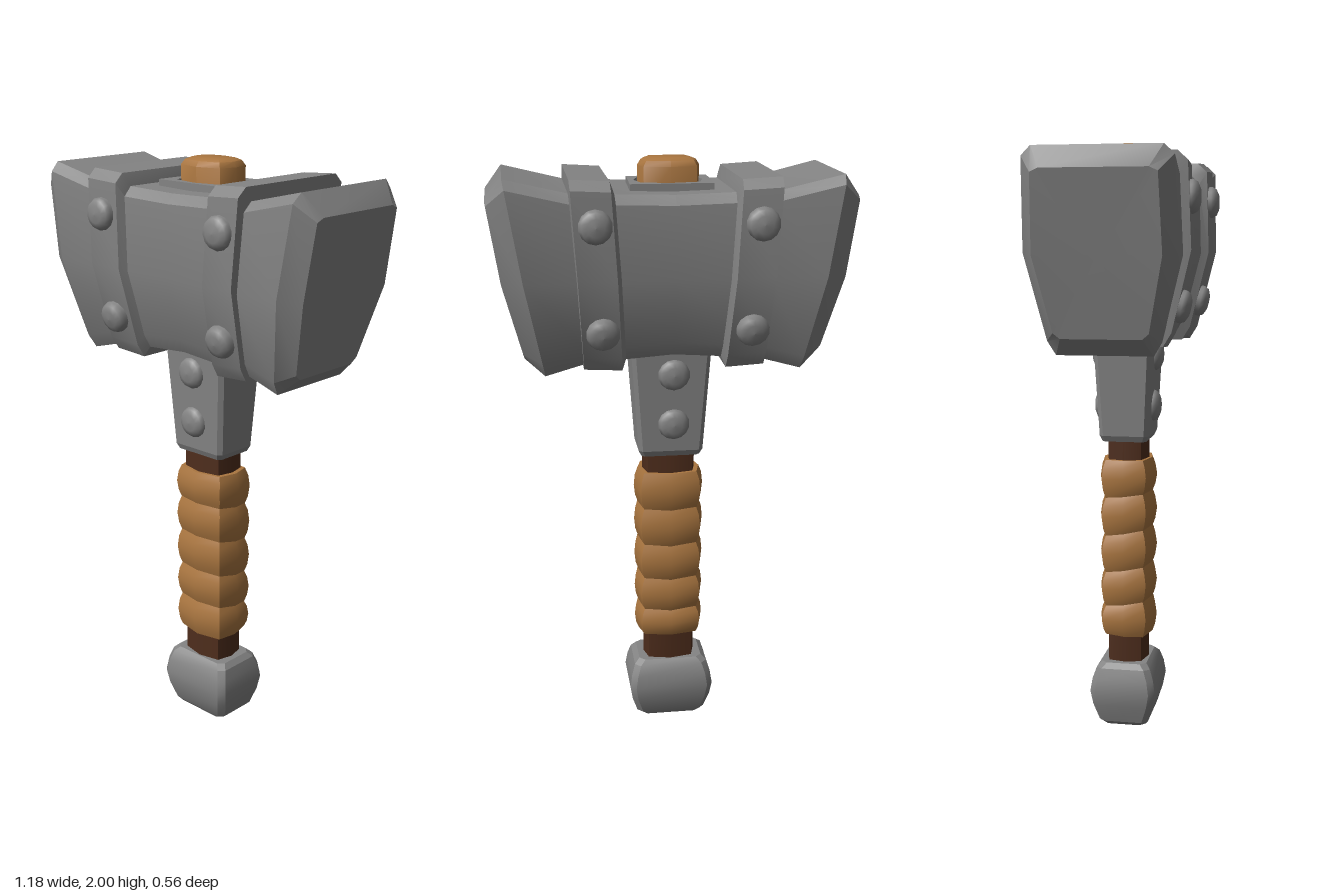
import * as THREE from 'three';
import { toCreasedNormals } from 'three/addons/utils/BufferGeometryUtils.js';

const steel = new THREE.MeshStandardMaterial({ color: 0x848484 });
steel.name = 'steel';
const leather = new THREE.MeshStandardMaterial({ color: 0xaa7640 });
leather.name = 'tan leather and wood';
const darkWood = new THREE.MeshStandardMaterial({ color: 0x4e2d1c });
darkWood.name = 'dark wood';

// Skin between cross-section rings, closed by a fan at each end
function loft(rings, crease = 0.35) {
  const pos = [];
  const tri = (a, b, c) => pos.push(...a, ...b, ...c);
  const n = rings[0].length;
  const middle = (r) => [0, 1, 2].map((k) => r.reduce((s, p) => s + p[k], 0) / n);
  const first = rings[0], last = rings[rings.length - 1];
  const c0 = middle(first), c1 = middle(last);
  for (let i = 0; i < n; i++) {
    const j = (i + 1) % n;
    for (let r = 0; r < rings.length - 1; r++) {
      const a = rings[r], b = rings[r + 1];
      tri(a[i], a[j], b[j]);
      tri(a[i], b[j], b[i]);
    }
    tri(c0, first[j], first[i]);
    tri(c1, last[i], last[j]);
  }
  const g = new THREE.BufferGeometry();
  g.setAttribute('position', new THREE.Float32BufferAttribute(pos, 3));
  g.computeVertexNormals();
  return toCreasedNormals(g, crease);
}

// Upright slanted section of the head: wide shoulders narrowing to the bottom
function headSection(xTop, xBot, top, bot, w, bevel = 0.03, bulge = 0) {
  const h = top - bot;
  const half = [
    [top, 0.83 * w, 0], [top - bevel, 0.96 * w, 0], [top - 0.5 * h, w, bulge],
    [bot + 1.5 * bevel, 0.75 * w, 0], [bot, 0.64 * w, 0],
  ].map(([y, z, b]) => [xTop + (xBot - xTop) * (top - y) / h + b, y, z]);
  return [...half, ...half.slice().reverse().map(([x, y, z]) => [x, y, -z])];
}

// Level rings for the handle parts
const softRing = (y, w, d, tilt = 0) =>
  [[0, 1], [0.85, 0.77], [1, 0], [0.85, -0.77], [0, -1], [-0.85, -0.77], [-1, 0], [-0.85, 0.77]]
    .map(([x, z]) => [x * w, y + z * tilt, z * d]);
const boxRing = (y, w, d, c) =>
  [[w - c, d], [w, d - c], [w, c - d], [w - c, -d], [c - w, -d], [-w, c - d], [-w, d - c], [c - w, d]]
    .map(([x, z]) => [x, y, z]);

export function createModel() {
  const model = new THREE.Group();
  model.name = 'warHammer';
  const add = (name, geometry, material) => {
    const mesh = new THREE.Mesh(geometry, material);
    mesh.name = name;
    model.add(mesh);
    return mesh;
  };

  // Flared head with bevelled striking faces
  const side = (s) => [
    headSection(s * 0.59, s * 0.485, 1.89, 1.38, 0.2, 0.012, s * 0.012),
    headSection(s * 0.535, s * 0.42, 1.96, 1.325, 0.243, 0.03, s * 0.005),
    headSection(s * 0.33, s * 0.28, 1.912, 1.362, 0.229),
  ];
  add('head', loft([
    ...side(-1), headSection(0, 0, 1.902, 1.38, 0.219), ...side(1).reverse(),
  ]), steel);

  // Straps around the head, sloped on the inner edge
  for (const s of [-1, 1]) {
    const rings = [
      headSection(s * 0.19, s * 0.155, 1.905, 1.375, 0.222),
      headSection(s * 0.207, s * 0.17, 1.95, 1.337, 0.25),
      headSection(s * 0.333, s * 0.295, 1.957, 1.345, 0.255),
      headSection(s * 0.335, s * 0.297, 1.905, 1.375, 0.222),
    ];
    add(s > 0 ? 'leftStrap' : 'rightStrap', loft(s > 0 ? rings : rings.reverse()), steel);
  }

  // Domed rivets on straps and collar, front and back
  const rivetShape = new THREE.LatheGeometry(
    [[0.054, -0.03], [0.054, 0.006], [0.046, 0.02], [0.028, 0.028], [0, 0.031]]
      .map(([r, y]) => new THREE.Vector2(r, y)), 14);
  const rivets = [
    [-0.268, 1.817, 0.249, 0], [0.256, 1.817, 0.249, 0],
    [-0.248, 1.472, 0.217, 0.22], [0.235, 1.472, 0.217, 0.22],
    [-0.008, 1.298, 0.092, 0], [-0.008, 1.123, 0.084, 0],
  ];
  for (const f of [1, -1]) {
    for (const [x, y, z, tilt] of rivets) {
      const rivet = add(f > 0 ? 'frontRivet' : 'backRivet', rivetShape, steel);
      rivet.position.set(x, y, f * z);
      rivet.rotation.x = f * (Math.PI / 2 + tilt);
    }
  }

  // Tapered collar below the head
  add('collar', loft([
    boxRing(1.005, 0.1, 0.075, 0.012), boxRing(1.025, 0.11, 0.084, 0.014),
    boxRing(1.42, 0.137, 0.104, 0.014),
  ]), steel);

  // Top plate with an opening for the handle end
  const plate = new THREE.Shape([[-0.142, -0.107], [0.127, -0.107], [0.135, 0.107], [-0.135, 0.107]]
    .map(([x, y]) => new THREE.Vector2(x, y)));
  plate.holes.push(new THREE.Path(softRing(0, 0.112, 0.091).map(([x, , z]) => new THREE.Vector2(x, z))));
  const plateShape = new THREE.ExtrudeGeometry(plate, { depth: 0.04, bevelEnabled: false });
  plateShape.rotateX(-Math.PI / 2);
  add('topPlate', plateShape, steel).position.y = 1.887;

  // Handle end showing through the plate
  add('handleEnd', loft([
    softRing(1.85, 0.1, 0.078), softRing(1.975, 0.101, 0.079), softRing(1.992, 0.09, 0.068),
    softRing(2, 0.07, 0.05),
  ], 0.6), leather);

  // Shaft
  add('shaft', loft([softRing(0.18, 0.091, 0.073), softRing(1.05, 0.091, 0.073)], 0.6), darkWood);

  // Bulging grip wraps
  const edges = [0.32, 0.433, 0.555, 0.685, 0.815, 0.94];
  const tilts = [-0.004, 0.012, 0.014, 0.015, 0.01, 0];
  for (let i = 0; i < 5; i++) {
    const rings = [[0, 0.108, 0.085], [0.2, 0.117, 0.094], [0.5, 0.121, 0.1], [0.8, 0.117, 0.094], [1, 0.107, 0.084]]
      .map(([t, w, d]) => softRing(
        THREE.MathUtils.lerp(edges[i], edges[i + 1], t), w, d,
        THREE.MathUtils.lerp(tilts[i], tilts[i + 1], t)));
    add('gripWrap', loft(rings, 0.8), leather);
  }

  // Barrel-sided pommel
  add('pommel', loft([
    boxRing(0, 0.105, 0.075, 0.02), boxRing(0.015, 0.122, 0.086, 0.02),
    boxRing(0.075, 0.141, 0.105, 0.02), boxRing(0.125, 0.149, 0.114, 0.02),
    boxRing(0.17, 0.142, 0.107, 0.02), boxRing(0.208, 0.13, 0.094, 0.02),
    boxRing(0.225, 0.112, 0.078, 0.02),
  ], 0.5), steel);

  return model;
}
